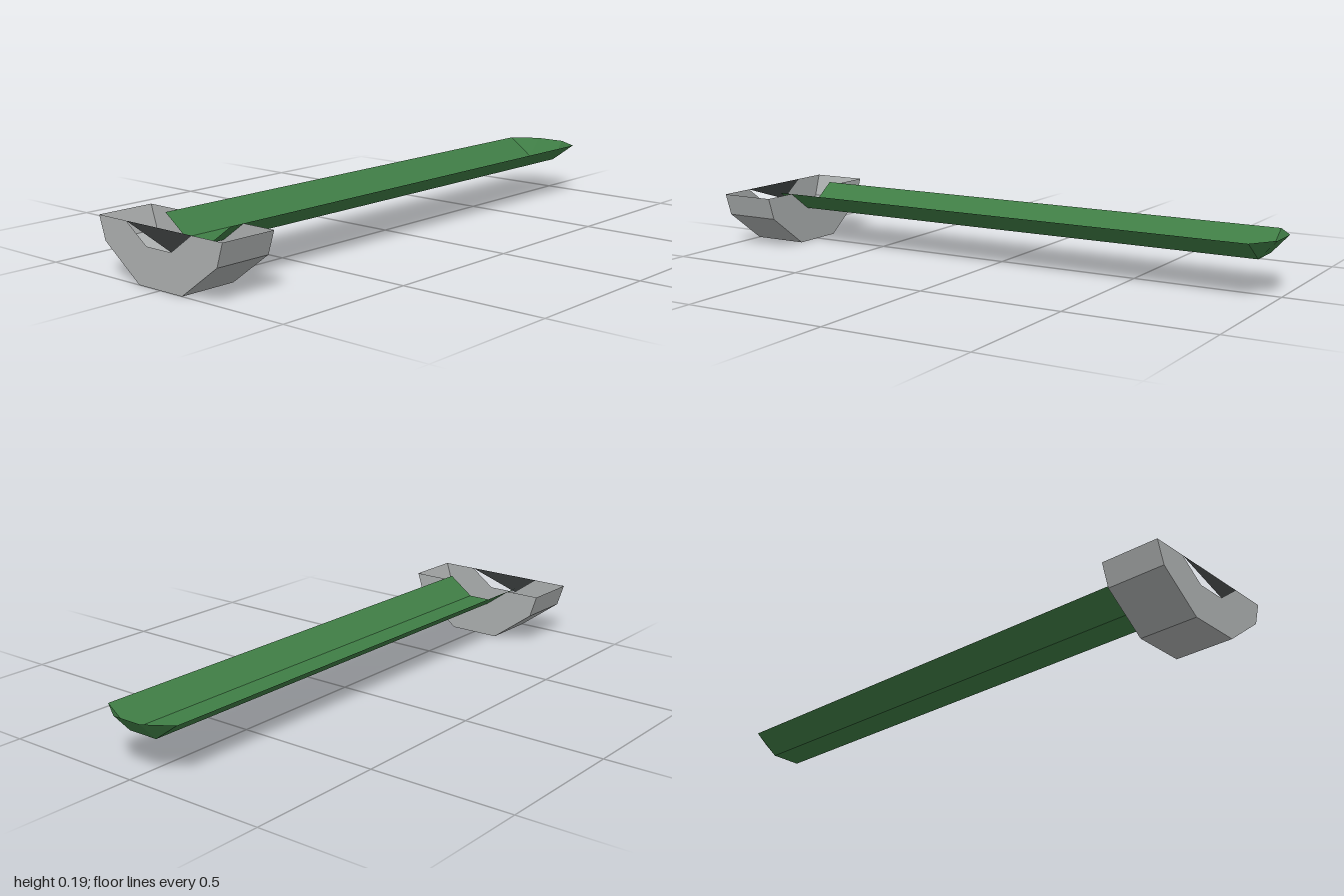
import * as THREE from 'three';

// Cross-sections as [z, y], open at the top
const basinProfile = [[0.27, 0.187], [0.245, 0.11], [0.094, 0], [-0.094, 0], [-0.245, 0.11], [-0.27, 0.187]];
const troughProfile = [[0.144, 0.187], [0.055, 0.123], [-0.055, 0.123], [-0.144, 0.187]];

// Flat-shaded geometry from polygons, each fanned into triangles
function polygons(list) {
  const pos = [];
  for (const p of list) {
    for (let i = 1; i < p.length - 1; i++) pos.push(...p[0], ...p[i], ...p[i + 1]);
  }
  const g = new THREE.BufferGeometry();
  g.setAttribute('position', new THREE.Float32BufferAttribute(pos, 3));
  g.computeVertexNormals();
  return g;
}

// Sheet walls running along x between two stations
function channel(profile, x0, x1) {
  const faces = [];
  for (let i = 0; i < profile.length - 1; i++) {
    const [za, ya] = profile[i], [zb, yb] = profile[i + 1];
    faces.push([[x0, ya, za], [x0, yb, zb], [x1, yb, zb], [x1, ya, za]]);
  }
  return faces;
}

export function createModel() {
  const group = new THREE.Group();
  const grey = new THREE.MeshStandardMaterial({ color: 0xadb0b0, side: THREE.DoubleSide });
  grey.name = 'grey';
  const green = new THREE.MeshStandardMaterial({ color: 0x3f7d45, side: THREE.DoubleSide });
  green.name = 'green';
  const black = new THREE.MeshStandardMaterial({ color: 0x363939 });
  black.name = 'black';

  const add = (name, geometry, material) => {
    const mesh = new THREE.Mesh(geometry, material);
    mesh.name = name;
    group.add(mesh);
    return mesh;
  };

  // Open basin with end walls notched to the trough section
  add('basinWalls', polygons(channel(basinProfile, -1, -0.8)), grey);
  const outline = [...basinProfile, ...[...troughProfile].reverse()];
  const endShape = new THREE.Shape(outline.map(([z, y]) => new THREE.Vector2(z, y)));
  for (const [name, x] of [['basinOuterEnd', -1], ['basinInnerEnd', -0.8]]) {
    const end = add(name, new THREE.ShapeGeometry(endShape), grey);
    end.rotation.y = -Math.PI / 2;
    end.position.x = x;
  }

  // Dark flaps in the outer notch, one facing each way
  const [a, b, c, d] = troughProfile.map(([z, y]) => [-1, y, z]);
  add('notchFlaps', polygons([[a, c, d], [a, d, b]]), black);

  // Long trough with a raised spout lip and corner folds
  const tip = 0.94;
  const faces = channel(troughProfile, -0.85, tip);
  faces.push([[tip, 0.123, 0.055], [tip, 0.123, -0.055], [1, 0.187, -0.055], [1, 0.187, 0.055]]);
  for (const s of [1, -1]) {
    const fold = [[tip, 0.123, s * 0.055], [1, 0.187, s * 0.055], [tip, 0.187, s * 0.144]];
    faces.push(s > 0 ? fold.reverse() : fold);
  }
  add('trough', polygons(faces), green);

  return group;
}
